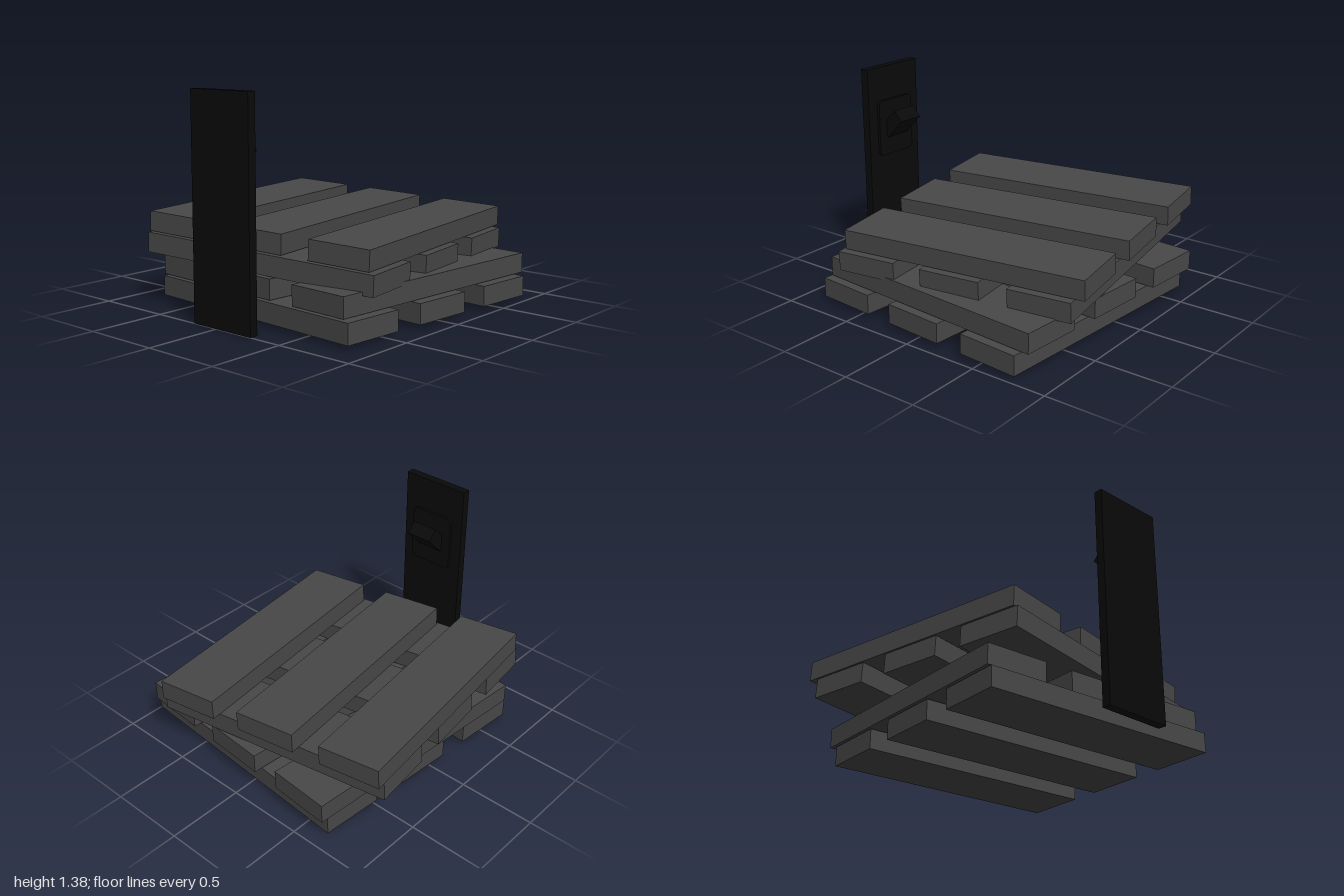
import * as THREE from 'three';

const plankMaterial = new THREE.MeshStandardMaterial({ color: 0x484848 });
const switchMaterial = new THREE.MeshStandardMaterial({ color: 0x0a0a0a });

const PLANK = { width: 0.41, height: 0.127, length: 1.65, spacing: 0.6 };

// One layer of three parallel planks, running along x or z, then turned and tilted.
function plankLayer(name, alongX, position, yaw, tiltX, tiltZ) {
  const layer = new THREE.Group();
  layer.name = name;
  const { width, height, length, spacing } = PLANK;
  const geometry = alongX
    ? new THREE.BoxGeometry(length, height, width)
    : new THREE.BoxGeometry(width, height, length);
  for (let i = -1; i <= 1; i++) {
    const plank = new THREE.Mesh(geometry, plankMaterial);
    plank.name = 'plank';
    plank.position[alongX ? 'z' : 'x'] = i * spacing;
    layer.add(plank);
  }
  layer.position.set(...position);
  layer.rotation.set(tiltX, yaw, tiltZ, 'ZXY');
  return layer;
}

// Flat plate with rounded corners, thickness along z from 0 to depth.
function roundedPlate(width, height, depth, r) {
  const x = width / 2, y = height / 2;
  const shape = new THREE.Shape();
  shape.absarc(x - r, y - r, r, 0, Math.PI / 2);
  shape.absarc(-x + r, y - r, r, Math.PI / 2, Math.PI);
  shape.absarc(-x + r, -y + r, r, Math.PI, Math.PI * 1.5);
  shape.absarc(x - r, -y + r, r, Math.PI * 1.5, Math.PI * 2);
  return new THREE.ExtrudeGeometry(shape, { depth, bevelEnabled: false, curveSegments: 4 });
}

function switchPanel() {
  const panel = new THREE.Group();
  panel.name = 'switchPanel';
  const add = (name, geometry, y, z) => {
    const mesh = new THREE.Mesh(geometry, switchMaterial);
    mesh.name = name;
    mesh.position.set(0, y, z);
    panel.add(mesh);
    return mesh;
  };
  add('backPlate', new THREE.BoxGeometry(0.466, 1.385, 0.055), 0.6925, 0.9725);
  add('raisedPlate', roundedPlate(0.31, 0.375, 0.03, 0.03), 0.9725, 0.925);
  // lever points up and towards the planks
  add('lever', new THREE.BoxGeometry(0.18, 0.09, 0.18), 1.003, 0.884).rotation.x = Math.PI / 4;
  panel.position.x = 0.045;
  return panel;
}

export function createModel() {
  const model = new THREE.Group();
  model.name = 'plankStack';
  model.add(
    plankLayer('firstLayer', true, [0.09, 0.0885, -0.03], -0.073, 0, 0.003),
    plankLayer('secondLayer', false, [0.06, 0.223, -0.07], -0.073, 0, 0.003),
    plankLayer('thirdLayer', true, [-0.037, 0.372, -0.037], 0.131, 0.006, -0.044),
    plankLayer('topLayer', false, [-0.063, 0.505, -0.077], 0.131, 0.006, -0.044),
    switchPanel()
  );
  return model;
}
